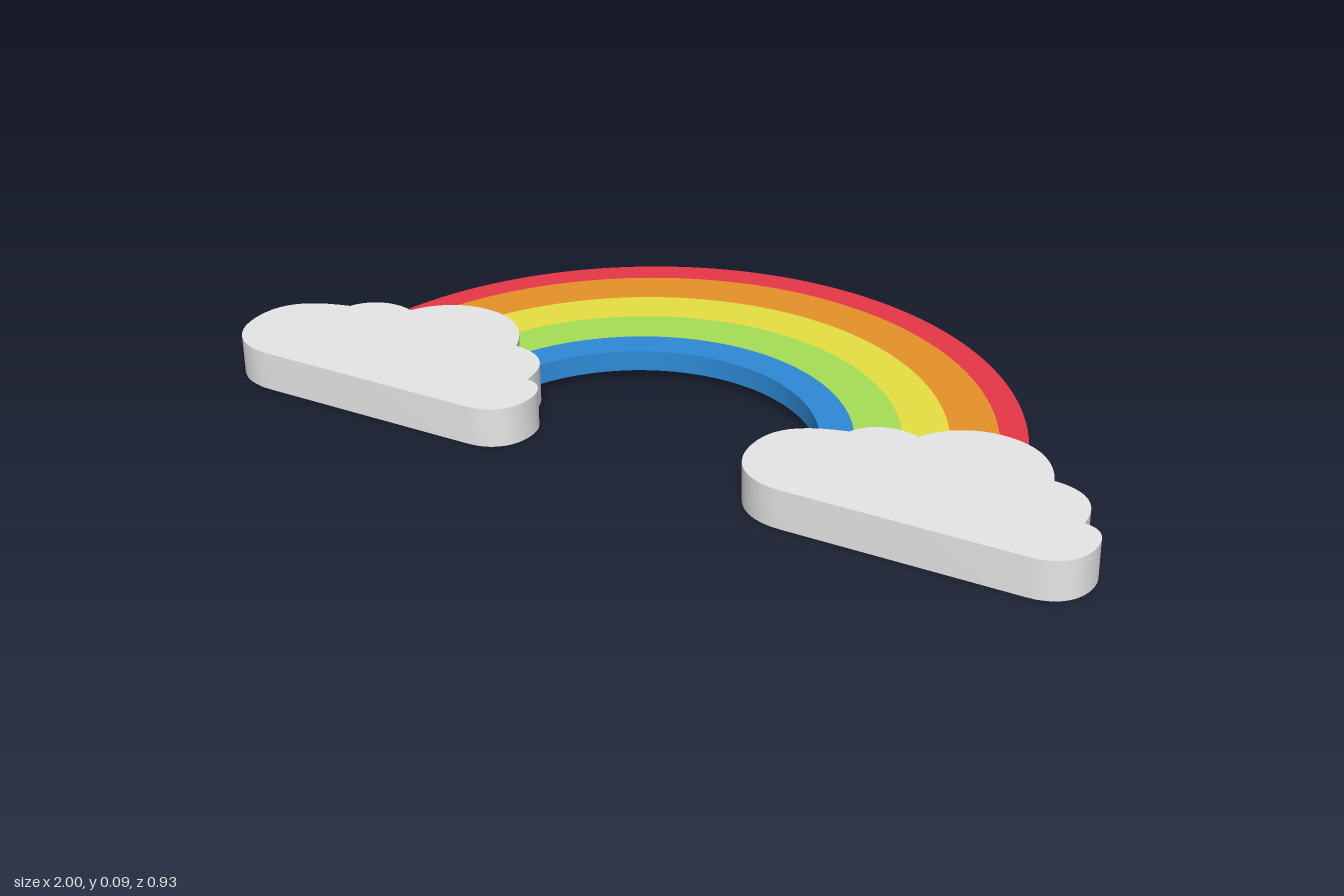
import * as THREE from 'three';
import { toCreasedNormals } from 'three/addons/utils/BufferGeometryUtils.js';

function material(name, color) {
  const m = new THREE.MeshStandardMaterial({ color });
  m.name = name;
  return m;
}

// Extrudes an outline drawn as (x, -z) upward from y0 to y1.
function slab(name, shape, y0, y1, mat, curveSegments) {
  const flat = new THREE.ExtrudeGeometry(shape, { depth: y1 - y0, bevelEnabled: false, curveSegments });
  flat.rotateX(-Math.PI / 2).translate(0, y0, 0);
  const mesh = new THREE.Mesh(toCreasedNormals(flat, 0.5), mat);
  mesh.name = name;
  return mesh;
}

// Band between two arcs given by apex z and centre z; the feet end inside the clouds.
function bandShape([outerApex, outerCentre], [innerApex, innerCentre]) {
  const footZ = 0.25;
  const shape = new THREE.Shape();
  const R = outerCentre - outerApex, r = innerCentre - innerApex;
  const A = Math.asin((outerCentre - footZ) / R), a = Math.asin((innerCentre - footZ) / r);
  shape.absarc(0, -outerCentre, R, A, Math.PI - A, false);
  shape.absarc(0, -innerCentre, r, Math.PI - a, a, true);
  shape.closePath();
  return shape;
}

// Puffy cloud outline with a flat front edge, centred on x = 0.
function cloudShape() {
  const s = new THREE.Shape();
  s.moveTo(-0.24, -0.463);
  s.lineTo(0.275, -0.463);
  s.bezierCurveTo(0.34, -0.463, 0.375, -0.42, 0.375, -0.365); // small right puff
  s.bezierCurveTo(0.375, -0.325, 0.355, -0.3, 0.323, -0.3);
  s.bezierCurveTo(0.325, -0.225, 0.29, -0.18, 0.215, -0.175); // right shoulder
  s.bezierCurveTo(0.185, -0.09, 0.125, -0.05, 0.052, -0.05); // main puff
  s.bezierCurveTo(-0.01, -0.05, -0.065, -0.085, -0.092, -0.137);
  s.bezierCurveTo(-0.145, -0.115, -0.205, -0.135, -0.225, -0.183); // left shoulder
  s.bezierCurveTo(-0.32, -0.205, -0.375, -0.24, -0.375, -0.33); // large left end
  s.bezierCurveTo(-0.375, -0.41, -0.32, -0.463, -0.24, -0.463);
  return s;
}

export function createModel() {
  const model = new THREE.Group();
  model.name = 'rainbowWithClouds';

  // Rainbow bands, outermost first
  const edges = [[-0.465, 0.319], [-0.4, 0.33], [-0.293, 0.34], [-0.19, 0.35], [-0.086, 0.36], [-0.01, 0.37]];
  const colors = [
    ['red', 0xeb3848], ['orange', 0xffa22e], ['yellow', 0xfff64a],
    ['green', 0xa6df56], ['blue', 0x2e8ad8],
  ];
  const rainbow = new THREE.Group();
  rainbow.name = 'rainbow';
  colors.forEach(([name, color], i) => {
    rainbow.add(slab(name + 'Band', bandShape(edges[i], edges[i + 1]), 0.021, 0.067, material(name, color), 48));
  });
  model.add(rainbow);

  // Two identical clouds, one at each foot
  const white = material('white', 0xffffff);
  for (const [name, x] of [['rightCloud', -0.625], ['leftCloud', 0.623]]) {
    const cloud = slab(name, cloudShape(), 0, 0.088, white, 10);
    cloud.position.x = x;
    model.add(cloud);
  }
  return model;
}
